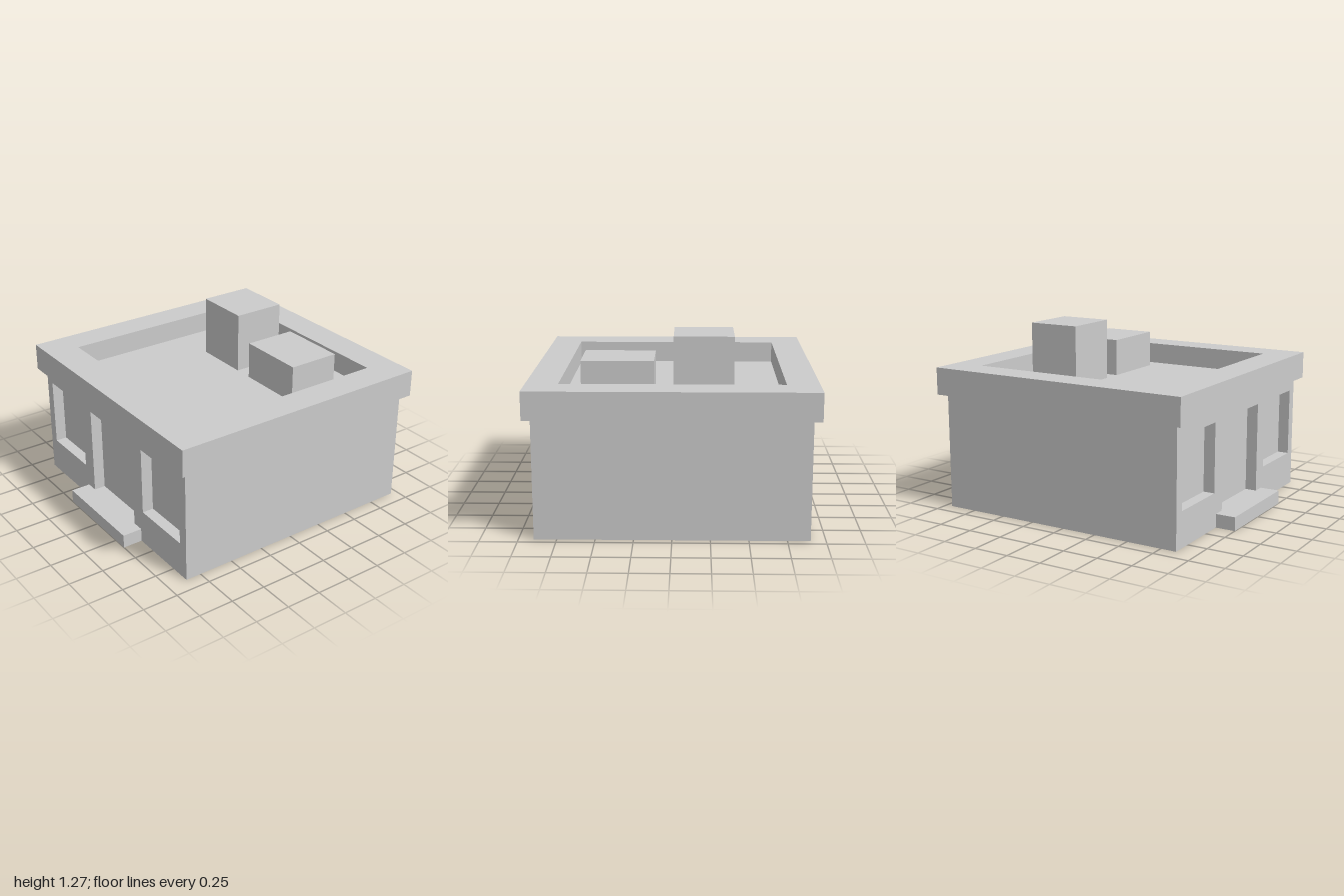
import * as THREE from 'three';

const material = new THREE.MeshStandardMaterial({ color: 0xcccccc, flatShading: true });

// Closed rectangle outline, usable as shape or hole
function rect(PathType, x0, x1, y0, y1) {
  const p = new PathType();
  p.moveTo(x0, y0);
  p.lineTo(x1, y0);
  p.lineTo(x1, y1);
  p.lineTo(x0, y1);
  p.closePath();
  return p;
}

export function createModel() {
  const model = new THREE.Group();
  model.name = 'shopBuilding';

  const add = (name, geometry) => {
    const mesh = new THREE.Mesh(geometry, material);
    mesh.name = name;
    model.add(mesh);
    return mesh;
  };
  const block = (name, x0, x1, y0, y1, z0, z1) =>
    add(name, new THREE.BoxGeometry(x1 - x0, y1 - y0, z1 - z0))
      .position.set((x0 + x1) / 2, (y0 + y1) / 2, (z0 + z1) / 2);

  const wallZ = 0.86, recess = 0.08, deckY = 0.85;

  // Main volume; its top is the sunken roof deck, its front the recessed panes
  block('buildingBody', -0.9, 0.9, 0, deckY, -0.95, wallZ - recess);

  // Front wall with two window openings and a doorway
  const front = rect(THREE.Shape, -0.9, 0.9, 0, 0.81);
  front.holes.push(
    rect(THREE.Path, -0.83, -0.385, 0.245, 0.725),
    rect(THREE.Path, 0.385, 0.83, 0.245, 0.725),
    rect(THREE.Path, -0.27, 0.27, 0.095, 0.725)
  );
  add('frontWall', new THREE.ExtrudeGeometry(front, { depth: recess, bevelEnabled: false }))
    .position.z = wallZ - recess;

  // Door step
  block('doorStep', -0.355, 0.355, 0, 0.095, wallZ, 1);

  // Overhanging parapet ring (shape y becomes -z)
  const ring = rect(THREE.Shape, -0.95, 0.95, -0.91, 1);
  ring.holes.push(rect(THREE.Path, -0.735, 0.735, -0.68, 0.78));
  const parapet = new THREE.ExtrudeGeometry(ring, { depth: 0.19, bevelEnabled: false });
  parapet.rotateX(-Math.PI / 2);
  add('parapet', parapet).position.y = 0.81;

  // Rooftop units
  block('tallRoofUnit', -0.405, -0.005, deckY, 1.275, -0.585, -0.215);
  block('lowRoofUnit', 0.125, 0.61, deckY, 1.11, -0.585, -0.215);

  return model;
}
